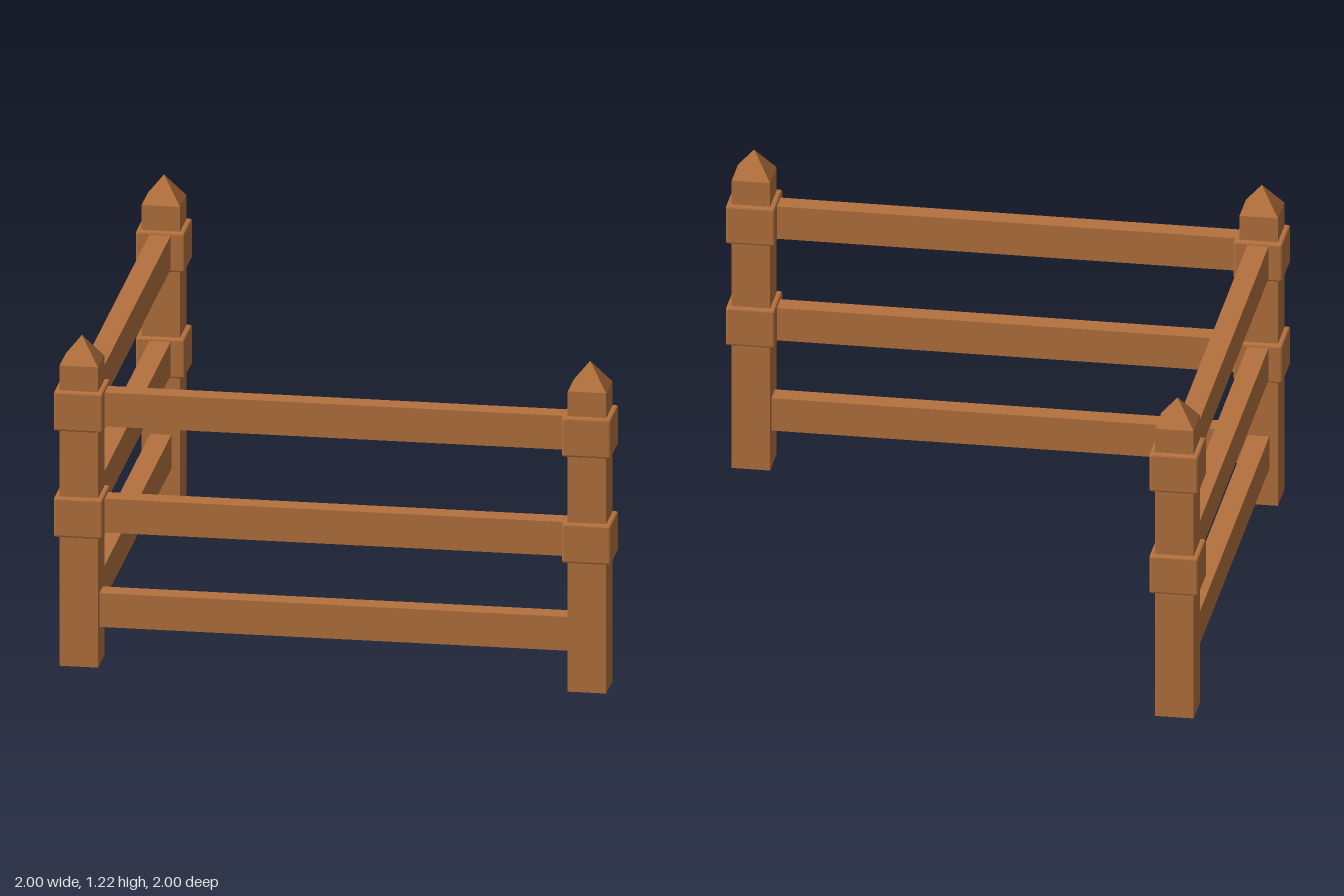
import * as THREE from 'three';
import { RoundedBoxGeometry } from 'three/addons/geometries/RoundedBoxGeometry.js';

const CENTRE = 0.911; // post centre distance along x and z
const POST = 0.138;   // post width

export function createModel() {
  const group = new THREE.Group();
  group.name = 'cornerFence';
  const wood = new THREE.MeshStandardMaterial({ color: 0xb4713d });
  wood.name = 'brown wood';

  const add = (parent, name, geometry, x, y, z) => {
    const mesh = new THREE.Mesh(geometry, wood);
    mesh.name = name;
    mesh.position.set(x, y, z);
    parent.add(mesh);
    return mesh;
  };

  // Square shaft, pointed cap and collars with softly bevelled edges
  const shaft = new THREE.BoxGeometry(POST, 1.12, POST);
  const cap = new THREE.ConeGeometry(POST / Math.SQRT2, 0.095, 4, 1, true).rotateY(Math.PI / 4).toNonIndexed();
  cap.computeVertexNormals();
  const collar = new RoundedBoxGeometry(0.176, 0.148, 0.176, 1, 0.008);
  collar.clearGroups();
  collar.computeVertexNormals();

  const addPost = (name, x, z) => {
    const post = new THREE.Group();
    post.name = name;
    post.position.set(x, 0, z);
    add(post, 'shaft', shaft, 0, 0.56, 0);
    add(post, 'cap', cap, 0, 1.1675, 0);
    add(post, 'lowerCollar', collar, 0, 0.558, 0);
    add(post, 'upperCollar', collar, 0, 0.954, 0);
    group.add(post);
  };
  addPost('cornerPost', -CENTRE, CENTRE);
  addPost('frontEndPost', CENTRE, CENTRE);
  addPost('sideEndPost', -CENTRE, -CENTRE);

  // Three rails along the front and three along the side
  const rail = new THREE.BoxGeometry(CENTRE * 2 - POST + 0.01, 0.126, 0.076);
  for (const y of [0.205, 0.558, 0.954]) {
    add(group, 'frontRail', rail, 0, y, CENTRE);
    add(group, 'sideRail', rail, -CENTRE, y, 0).rotation.y = Math.PI / 2;
  }
  return group;
}
